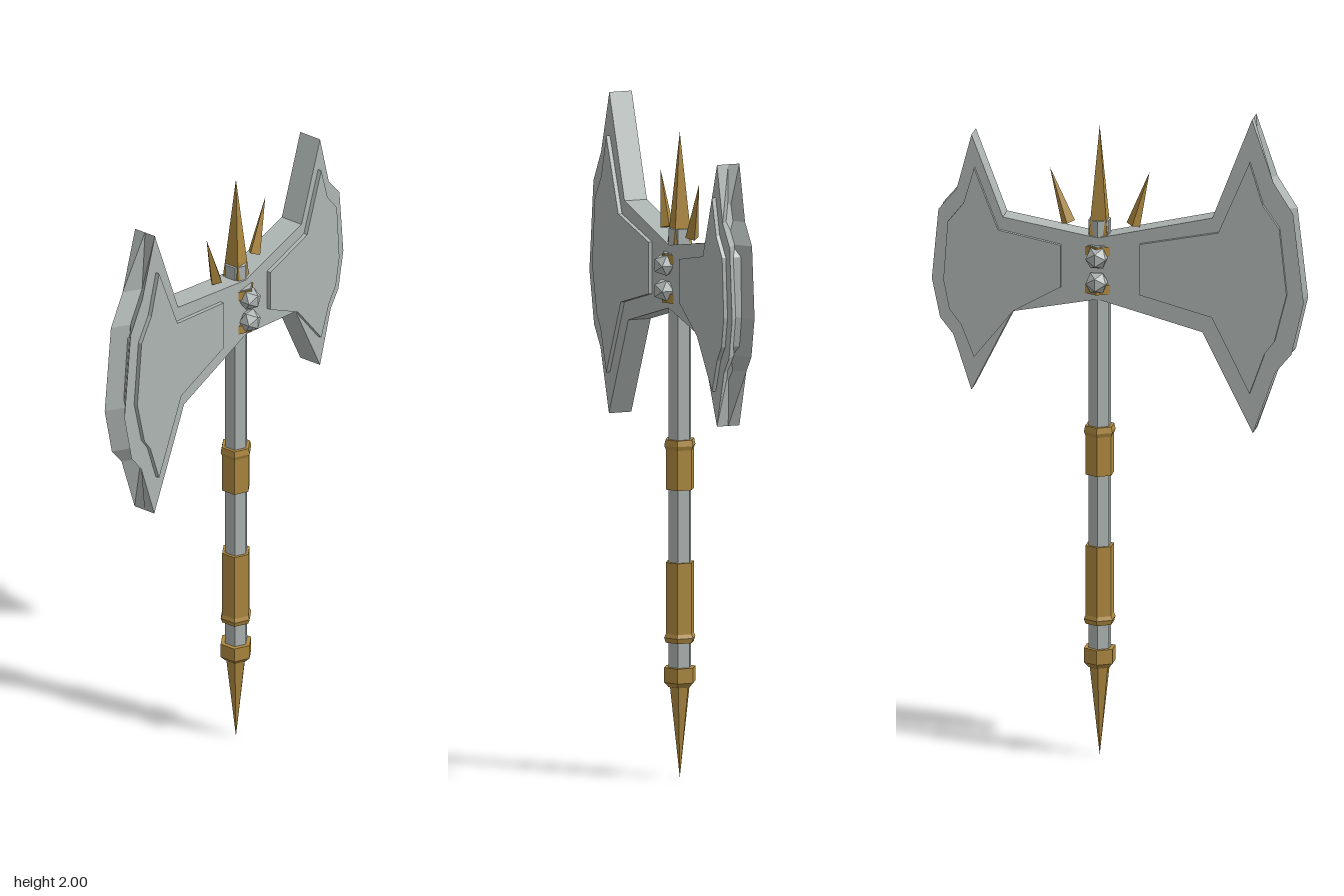
import * as THREE from 'three';

const steel = new THREE.MeshStandardMaterial({ color: 0xaeb6b3, flatShading: true });
steel.name = 'steel';
const gold = new THREE.MeshStandardMaterial({ color: 0xaf8a40, flatShading: true });
gold.name = 'gold';

const AXIS = 0.058; // x of the shaft

export function createModel() {
  const axe = new THREE.Group();
  axe.name = 'doubleAxe';

  function add(name, geometry, material, x = AXIS, y = 0, z = 0) {
    const mesh = new THREE.Mesh(geometry, material);
    mesh.name = name;
    mesh.position.set(x, y, z);
    axe.add(mesh);
    return mesh;
  }

  // Six-sided piece with ridges facing front and back
  function hex(name, material, y0, y1, r0, r1 = r0) {
    return add(name, new THREE.CylinderGeometry(r1, r0, y1 - y0, 6), material, AXIS, (y0 + y1) / 2);
  }

  // Plate centred on z = 0
  function plate(points, depth, steps = 1) {
    const shape = new THREE.Shape(points.map(([x, y]) => new THREE.Vector2(x, y)));
    return new THREE.ExtrudeGeometry(shape, { depth, steps, bevelEnabled: false })
      .translate(0, 0, -depth / 2);
  }

  // Blades in one outline, with a V groove along the cutting edges
  const blade = plate([
    [-0.41, 2.0], [-0.475, 1.81], [-0.535, 1.715], [-0.567, 1.44], [-0.53, 1.28], [-0.48, 1.22],
    [-0.413, 1.03], [-0.26, 1.335], [0.058, 1.42], [0.315, 1.37], [0.44, 1.12], [0.495, 1.29],
    [0.535, 1.34], [0.56, 1.46], [0.54, 1.675], [0.485, 1.74], [0.44, 1.91], [0.345, 1.66],
    [0.058, 1.61], [-0.29, 1.69],
  ], 0.072, 2);
  const pos = blade.attributes.position;
  for (let i = 0; i < pos.count; i++) {
    const x = pos.getX(i);
    if (Math.abs(pos.getZ(i)) < 0.001 && Math.abs(x - 0.015) > 0.44) {
      pos.setX(i, x - Math.sign(x) * 0.05);
    }
  }
  blade.computeVertexNormals();
  add('blades', blade, steel, 0);

  // Raised panels, proud on both faces
  add('rightBladePanel', plate([
    [-0.072, 1.6], [-0.31, 1.648], [-0.405, 1.87], [-0.445, 1.74], [-0.495, 1.67], [-0.517, 1.465],
    [-0.48, 1.32], [-0.45, 1.28], [-0.405, 1.155], [-0.29, 1.385], [-0.072, 1.443],
  ], 0.096), steel, 0);
  add('leftBladePanel', plate([
    [0.168, 1.585], [0.357, 1.622], [0.43, 1.81], [0.462, 1.7], [0.51, 1.64], [0.523, 1.46],
    [0.505, 1.37], [0.47, 1.325], [0.43, 1.225], [0.31, 1.375], [0.168, 1.455],
  ], 0.096), steel, 0);

  // Shaft
  hex('shaft', steel, 0.28, 1.66, 0.036);

  // Pommel: spike and collar
  hex('pommelSpike', gold, 0, 0.28, 0, 0.032);
  hex('pommelCollarTaper', gold, 0.275, 0.29, 0.036, 0.05);
  hex('pommelCollar', gold, 0.29, 0.335, 0.05);

  // Grips with flared rims
  hex('lowerGrip', gold, 0.42, 0.652, 0.045);
  hex('lowerGripRim', gold, 0.425, 0.437, 0.05, 0.045);
  hex('lowerGripRimUnder', gold, 0.41, 0.425, 0.045, 0.05);
  hex('upperGrip', gold, 0.872, 1.01, 0.045);
  hex('upperGripRimUnder', gold, 0.993, 1.005, 0.045, 0.05);
  hex('upperGripRim', gold, 1.005, 1.023, 0.05, 0.046);

  // Bands across the head, with steel inside
  for (const y of [1.452, 1.57]) hex('headBand', gold, y - 0.014, y + 0.014, 0.058);
  hex('headCap', steel, 1.58, 1.587, 0.054);

  // Faceted studs, two on each face
  for (const side of [-1, 1]) {
    for (const y of [1.475, 1.551]) {
      add('stud', new THREE.IcosahedronGeometry(0.036, 0), steel, AXIS, y, side * 0.05);
    }
  }

  // Four-sided spikes on top; base sits at the local origin
  function spike(name, halfWidth, base, tip, turn) {
    const dir = new THREE.Vector3(tip[0] - base[0], tip[1] - base[1], 0);
    const length = dir.length();
    const geometry = new THREE.ConeGeometry(halfWidth, length, 4)
      .rotateY(turn).translate(0, length / 2, 0);
    const mesh = add(name, geometry, gold, base[0], base[1]);
    mesh.quaternion.setFromUnitVectors(new THREE.Vector3(0, 1, 0), dir.normalize());
  }
  spike('centreSpike', 0.041, [AXIS, 1.6], [AXIS, 1.95], Math.PI / 4);
  spike('rightSpike', 0.021, [-0.044, 1.647], [-0.093, 1.812], 0);
  spike('leftSpike', 0.021, [0.153, 1.645], [0.209, 1.812], 0);

  return axe;
}
